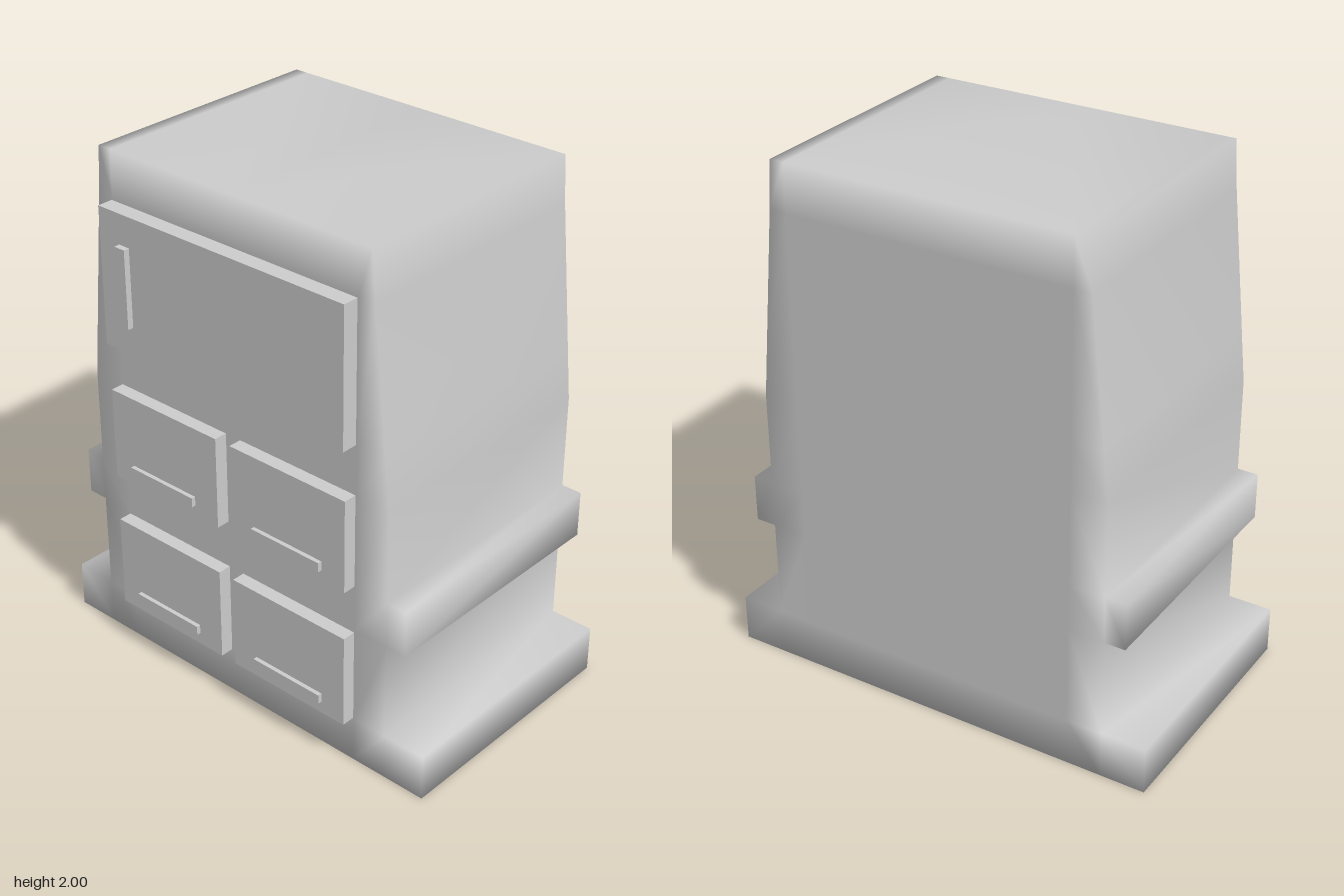
import * as THREE from 'three';
import { mergeVertices } from 'three/addons/utils/BufferGeometryUtils.js';

const FRONT = 0.45, BACK = -0.53, INNER = 0.55;

// Half outline of the body, from the foot up: [x, y]
const OUTLINE = [
  [0.86, 0], [0.86, 0.18], [0.69, 0.18], [0.69, 0.56], [0.77, 0.56], [0.77, 0.74],
  [0.69, 0.74], [0.69, 1.1], [0.671, 1.29], [0.618, 1.82], [0.605, 2],
];
// Rows of the front and back faces: [y, half width]
const ROWS = [
  [0, 0.69], [0.18, 0.69], [0.56, 0.69], [0.74, 0.69],
  [1.1, 0.69], [1.29, 0.671], [1.82, 0.618], [2, 0.605],
];

function bodyGeometry() {
  const pos = [];
  // A quad plus its mirror image across x = 0
  const quad = (a, b, c, d) => {
    const m = ([x, y, z]) => [-x, y, z];
    pos.push(...a, ...b, ...c, ...a, ...c, ...d);
    pos.push(...m(a), ...m(c), ...m(b), ...m(a), ...m(d), ...m(c));
  };
  // A quad on the front and the same one on the back
  const cap = (xa0, xb0, y0, xa1, xb1, y1) => {
    quad([xa0, y0, FRONT], [xb0, y0, FRONT], [xb1, y1, FRONT], [xa1, y1, FRONT]);
    quad([xb0, y0, BACK], [xa0, y0, BACK], [xa1, y1, BACK], [xb1, y1, BACK]);
  };

  // Sides, including the ledges and the foot
  for (let i = 0; i + 1 < OUTLINE.length; i++) {
    const [x0, y0] = OUTLINE[i], [x1, y1] = OUTLINE[i + 1];
    quad([x0, y0, FRONT], [x0, y0, BACK], [x1, y1, BACK], [x1, y1, FRONT]);
  }
  // Front and back
  for (let i = 0; i + 1 < ROWS.length; i++) {
    const [y0, w0] = ROWS[i], [y1, w1] = ROWS[i + 1];
    cap(0, INNER, y0, 0, INNER, y1);
    cap(INNER, w0, y0, INNER, w1, y1);
  }
  cap(0.69, 0.86, 0, 0.69, 0.86, 0.18);
  cap(0.69, 0.77, 0.56, 0.69, 0.77, 0.74);
  // Top and underside strips
  for (const [a, b] of [[0, INNER], [INNER, 0.605]])
    quad([a, 2, FRONT], [b, 2, FRONT], [b, 2, BACK], [a, 2, BACK]);
  for (const [a, b] of [[0, INNER], [INNER, 0.69], [0.69, 0.86]])
    quad([a, 0, BACK], [b, 0, BACK], [b, 0, FRONT], [a, 0, FRONT]);

  const raw = new THREE.BufferGeometry();
  raw.setAttribute('position', new THREE.Float32BufferAttribute(pos, 3));
  const geo = mergeVertices(raw, 1e-4);
  geo.computeVertexNormals(); // soft shading over the whole body
  return geo;
}

export function createModel() {
  const group = new THREE.Group();
  const material = new THREE.MeshStandardMaterial({ color: 0xcccccc });

  const body = new THREE.Mesh(bodyGeometry(), material);
  body.name = 'body';
  group.add(body);

  // Box given by its limits on each axis
  const block = (name, x0, x1, y0, y1, z0, z1) => {
    const mesh = new THREE.Mesh(new THREE.BoxGeometry(x1 - x0, y1 - y0, z1 - z0), material);
    mesh.position.set((x0 + x1) / 2, (y0 + y1) / 2, (z0 + z1) / 2);
    mesh.name = name;
    group.add(mesh);
  };

  // Upper door
  block('door', -0.555, 0.547, 1.29, 1.815, FRONT - 0.01, 0.512);
  block('doorHandle', -0.46, -0.413, 1.4, 1.7, 0.505, 0.535);

  // Two rows of two drawers
  for (const [row, y0, y1, handleY] of [['lower', 0.183, 0.55, 0.23], ['upper', 0.74, 1.1, 0.785]]) {
    for (const [side, x0, x1, h0] of [['Right', -0.555, -0.04, -0.46], ['Left', 0.027, 0.547, 0.135]]) {
      block(`${row}${side}Drawer`, x0, x1, y0, y1, FRONT - 0.01, 0.502);
      block(`${row}${side}DrawerHandle`, h0, h0 + 0.31, handleY, handleY + 0.036, 0.495, 0.518);
    }
  }
  return group;
}
